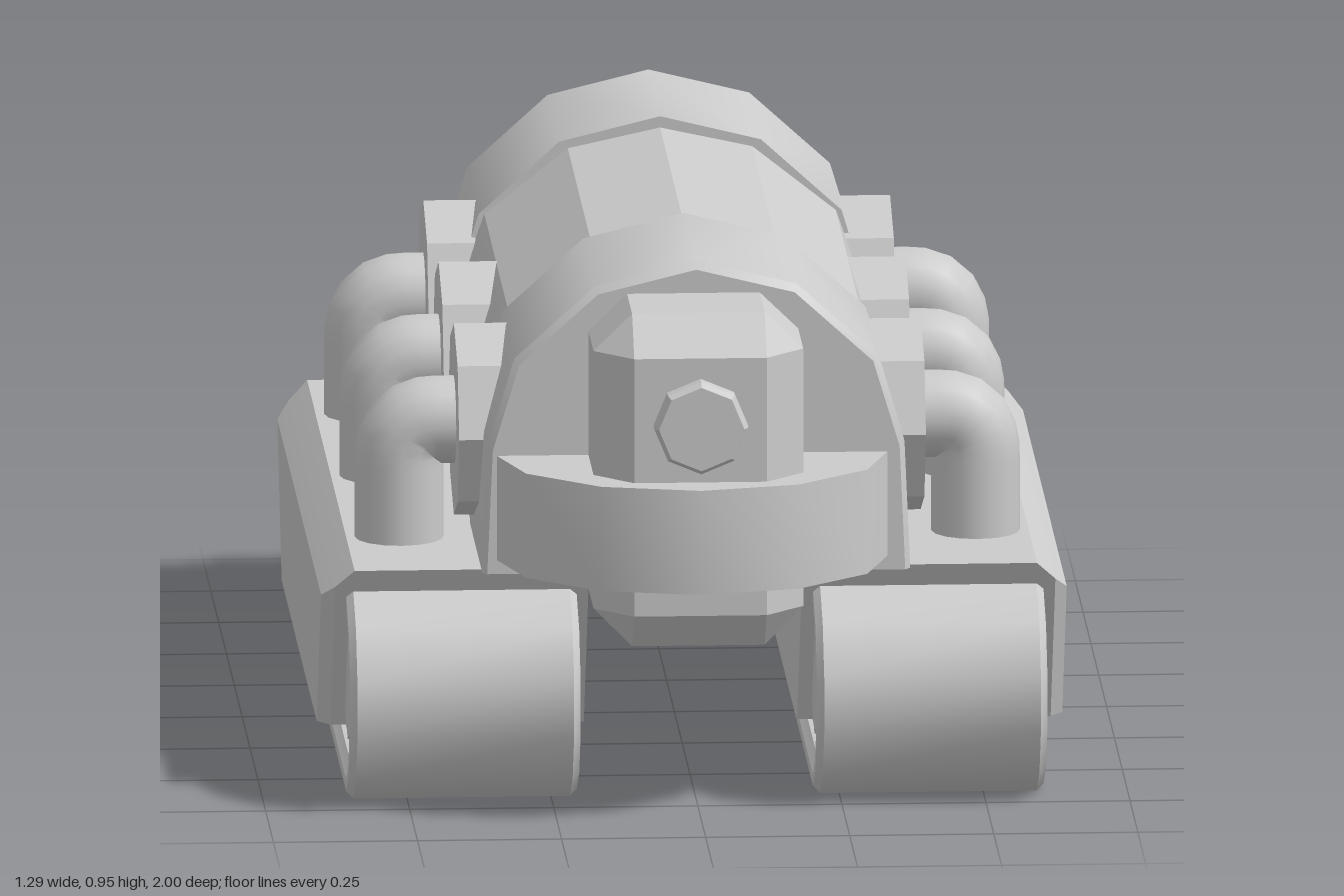
import * as THREE from 'three';
import { toCreasedNormals } from 'three/addons/utils/BufferGeometryUtils.js';
import { ConvexGeometry } from 'three/addons/geometries/ConvexGeometry.js';

const material = new THREE.MeshStandardMaterial({ color: 0xcccccc });
const V = (x, y, z) => new THREE.Vector3(x, y, z);

export function createModel() {
  const model = new THREE.Group();

  const add = (name, geometry, crease = 0.3) => {
    const mesh = new THREE.Mesh(toCreasedNormals(geometry, crease), material);
    mesh.name = name;
    model.add(mesh);
    return mesh;
  };

  // Cylinder or prism along z or x; rEnd is the radius at the positive end
  const prism = (axis, rStart, rEnd, from, to, sides, a, b, turn = 0) => {
    const g = new THREE.CylinderGeometry(rEnd, rStart, to - from, sides, 1, false, turn);
    const mid = (from + to) / 2;
    if (axis === 'z') return g.rotateX(Math.PI / 2).translate(a, b, mid);
    return g.rotateZ(-Math.PI / 2).translate(mid, a, b);
  };

  // Arched hull: two full ends with bevelled rims and a lower middle
  const arch = [[0.372, 0.405], [0.362, 0.63], [0.315, 0.785], [0.175, 0.912], [0, 0.955]];
  const lowArch = [[0.37, 0.405], [0.36, 0.63], [0.305, 0.785], [0.16, 0.9], [0, 0.935]];
  const ring = (profile, z, k = 1) => profile.flatMap(([x, y]) =>
    (x ? [1, -1] : [1]).map((s) => V(s * x * k, 0.405 + (y - 0.405) * k, z)));
  add('frontHull', new ConvexGeometry(
    [...ring(arch, 0.31), ...ring(arch, 0.688), ...ring(arch, 0.7, 0.975)]), 0.62);
  add('rearHull', new ConvexGeometry(
    [...ring(arch, -0.46), ...ring(arch, -0.832), ...ring(arch, -0.845, 0.975)]), 0.62);
  add('middleHull', new ConvexGeometry([...ring(lowArch, 0.32), ...ring(lowArch, -0.47)]));

  // Front housing with chamfered corners, top and bottom
  const housing = [];
  for (const s of [-1, 1]) {
    for (const y of [0.31, 0.9]) housing.push(V(s * 0.115 - 0.005, y, 0.68), V(s * 0.115 - 0.005, y, 0.86));
    for (const y of [0.378, 0.835]) {
      housing.push(V(s * 0.182 - 0.005, y, 0.68), V(s * 0.182 - 0.005, y, 0.86), V(s * 0.115 - 0.005, y, 0.93));
    }
  }
  add('frontHousing', new ConvexGeometry(housing));
  add('lamp', prism('z', 0.082, 0.082, 0.92, 0.955, 8, -0.005, 0.717));
  add('lampRim', prism('z', 0.082, 0.074, 0.955, 0.967, 8, -0.005, 0.717));

  // Rounded bumper
  const bumperShape = new THREE.Shape();
  for (let i = 0; i <= 6; i++) {
    const a = (i * Math.PI) / 6;
    bumperShape.lineTo(0.342 * Math.cos(a) - 0.007, 0.69 + 0.307 * Math.sin(a));
  }
  bumperShape.curves.shift();
  const bumper = new THREE.ExtrudeGeometry(bumperShape, { depth: 0.185, bevelEnabled: false });
  add('bumper', bumper.rotateX(Math.PI / 2).translate(0, 0.615, 0), 0.62);

  // Rear hatch and valve
  add('rearHatch', prism('z', 0.243, 0.262, -0.903, -0.84, 8, 0, 0.643, Math.PI / 8));
  add('valveFlange', prism('z', 0.062, 0.072, -0.925, -0.9, 8, 0, 0.643));
  add('valveStem', prism('z', 0.04, 0.04, -0.97, -0.92, 8, 0, 0.643), 0.9);
  add('valveCap', prism('z', 0.022, 0.04, -0.993, -0.97, 8, 0, 0.643), 0.9);
  add('valveLever', new ConvexGeometry([-0.012, 0.012].flatMap((x) =>
    [V(x, 0.665, -0.935), V(x, 0.73, -1), V(x, 0.65, -1), V(x, 0.64, -0.95)])));

  // Track outline, a loop with six-point ends, in (z, y)
  const loop = (r, Type) => {
    const points = [];
    for (const [center, start] of [[0.61, -75], [-0.76, 105]]) {
      for (let i = 0; i < 6; i++) {
        const a = ((start + i * 30) * Math.PI) / 180;
        points.push(new THREE.Vector2(center + r * Math.cos(a), 0.185 + r * Math.sin(a)));
      }
    }
    return new Type(points);
  };
  const extrudeX = (shape, from, to, bevel = 0) => {
    const g = new THREE.ExtrudeGeometry(shape, {
      depth: to - from - 2 * bevel, bevelEnabled: bevel > 0, bevelSize: bevel,
      bevelThickness: bevel, bevelOffset: -bevel, bevelSegments: 1,
    });
    return g.rotateY(-Math.PI / 2).translate(to - bevel, 0, 0);
  };

  for (const s of [1, -1]) {
    const side = s > 0 ? 'left' : 'right';
    const center = s * 0.405;

    // Belt with recessed sides and wheel hubs
    const beltShape = loop(0.191, THREE.Shape);
    beltShape.holes.push(loop(0.145, THREE.Path));
    add(side + 'Belt', extrudeX(beltShape, center - 0.2, center + 0.2, 0.012), 0.55);
    add(side + 'TrackCore', extrudeX(loop(0.15, THREE.Shape), center - 0.18, center + 0.18));
    for (const z of [0.61, -0.76]) {
      add(side + 'WheelHub', prism('x', 0.095, 0.095, center - 0.195, center + 0.195, 8, 0.19, z));
    }

    // Fender: sloping ends, chamfered outer top edge and bevelled outer rim
    const fender = [];
    const section = [[0.185, 0.1, 0], [0.185, 0.41, 0], [0.592, 0.41, 0], [0.625, 0.378, 0],
      [0.625, 0.1, 0], [0.647, 0.355, 0.03], [0.647, 0.1, 0.03]];
    for (const [x, y, inset] of section) {
      const half = 0.59 + ((y - 0.1) / 0.31) * 0.17 - inset;
      fender.push(V(s * x, y, half - 0.076), V(s * x, y, -half - 0.076));
    }
    add(side + 'Fender', new ConvexGeometry(fender));

    // Three elbow pipes with octagonal flanges
    for (const z of [0.412, -0.077, -0.565]) {
      const [from, to] = s > 0 ? [0.29, 0.405] : [-0.405, -0.29];
      add(side + 'PipeFlange', prism('x', 0.17, 0.17, from, to, 8, 0.617, z));
      const path = new THREE.CurvePath();
      path.add(new THREE.LineCurve3(V(s * 0.36, 0.617, z), V(s * 0.44, 0.617, z)));
      path.add(new THREE.QuadraticBezierCurve3(V(s * 0.44, 0.617, z), V(s * 0.5, 0.617, z), V(s * 0.5, 0.55, z)));
      path.add(new THREE.LineCurve3(V(s * 0.5, 0.55, z), V(s * 0.5, 0.39, z)));
      add(side + 'Pipe', new THREE.TubeGeometry(path, 18, 0.077, 16), 0.8);
    }
  }
  return model;
}
